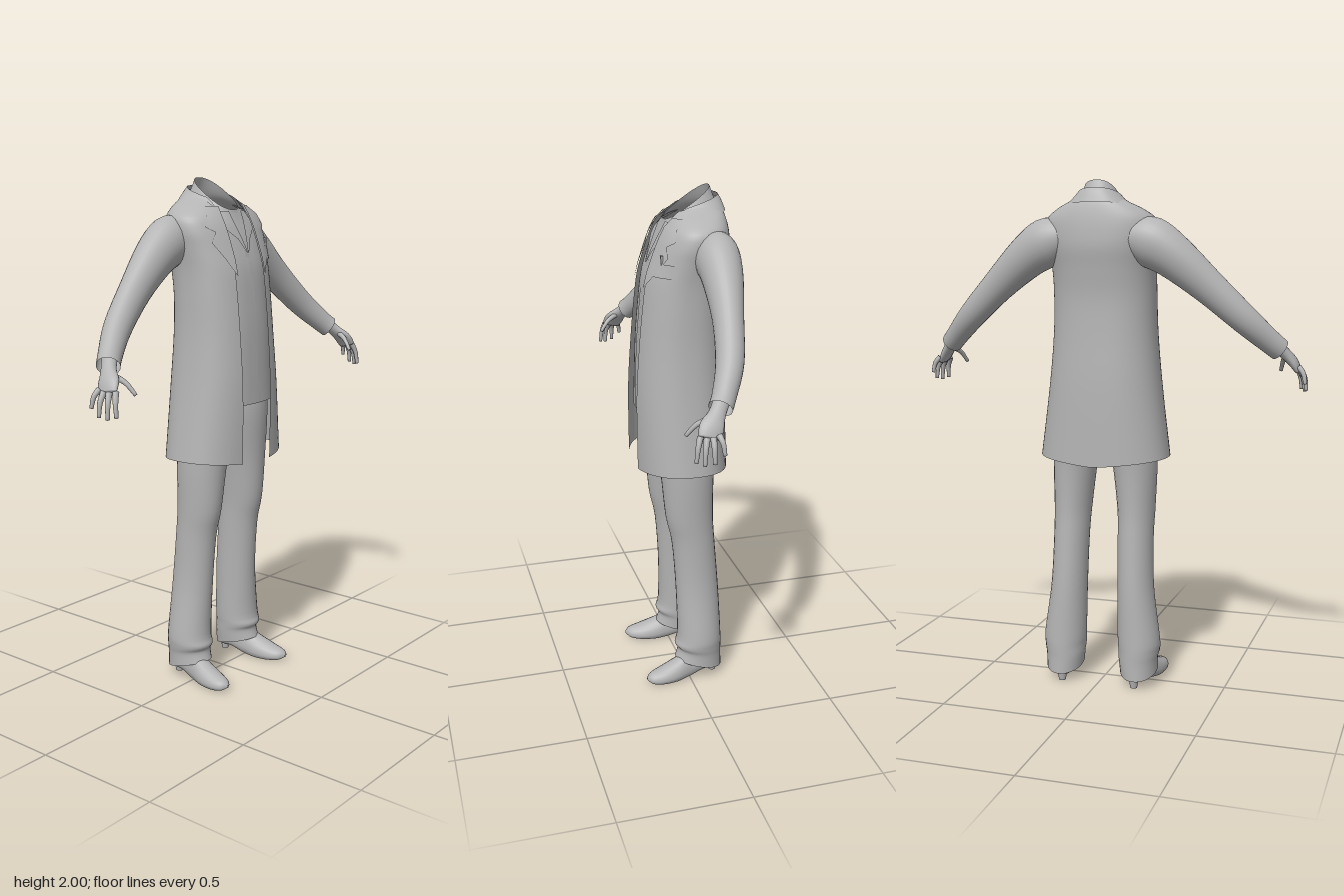
import * as THREE from 'three';

const cloth = new THREE.MeshStandardMaterial({ color: 0xb4b4b4, side: THREE.DoubleSide });
cloth.name = 'plain grey';

// Skin a list of rings (arrays of points) into one smooth surface
function skin(rings, closed, name) {
  const n = rings[0].length, index = [];
  const cols = closed ? n : n - 1;
  for (let i = 0; i < rings.length - 1; i++) {
    for (let j = 0; j < cols; j++) {
      const a = i * n + j, b = i * n + (j + 1) % n;
      index.push(a, b, a + n, b, b + n, a + n);
    }
  }
  const geo = new THREE.BufferGeometry();
  geo.setAttribute('position', new THREE.Float32BufferAttribute(rings.flat(2), 3));
  geo.setIndex(index);
  geo.computeVertexNormals();
  const mesh = new THREE.Mesh(geo, cloth);
  mesh.name = name;
  return mesh;
}

// Mirror rings to the side s while keeping the faces outward
const side = (rings, s) => (s > 0 ? rings : rings.map(r => r.map(([x, y, z]) => [-x, y, z]).reverse()));

// Catmull-Rom subdivision of rows of numbers
function smooth(rows, k = 4) {
  const out = [], at = i => rows[Math.max(0, Math.min(rows.length - 1, i))];
  for (let i = 0; i < rows.length - 1; i++) {
    for (let j = 0; j < k; j++) {
      const t = j / k, [a, b, c, d] = [at(i - 1), at(i), at(i + 1), at(i + 2)];
      out.push(b.map((v, m) => v + 0.5 * t * (c[m] - a[m]
        + t * (2 * a[m] - 5 * v + 4 * c[m] - d[m] + t * (3 * (v - c[m]) + d[m] - a[m])))));
    }
  }
  return [...out, rows[rows.length - 1]];
}

// Torso row: [front y, back y, half width, front z, back z, rise at the sides]
const P = 0.85;
function bodyPoint([yf, yb, w, zf, zb, rise], t) {
  const s = Math.sin(t), c = Math.cos(t);
  const px = Math.sign(s) * Math.abs(s) ** P, pz = Math.sign(c) * Math.abs(c) ** P;
  const k = (1 + pz) / 2;
  return [w * px, yb + (yf - yb) * k + rise * Math.abs(px), zb + (zf - zb) * k];
}
const angleAt = (row, x) => Math.asin(Math.min(1, x / row[2]) ** (1 / P));

// Height and depth of a torso surface on its front at (x, y)
function frontZ(rows, x, y) {
  const pts = rows.map(r => bodyPoint(r, angleAt(r, Math.abs(x))));
  for (let i = 0; i < pts.length - 1; i++) {
    const [, y0, z0] = pts[i], [, y1, z1] = pts[i + 1];
    if (y >= y0 && y <= y1) return z0 + (z1 - z0) * (y - y0) / (y1 - y0 || 1);
  }
  return pts[pts.length - 1][2];
}

// Torso shell, with a front opening from x = -l to x = r if given
function shell(rows, name, l = 0, r = 0) {
  const n = 56;
  const rings = rows.map(row => {
    const a = r ? angleAt(row, r) : 0, b = 2 * Math.PI - (l ? angleAt(row, l) : 0);
    return Array.from({ length: n + 1 }, (_, i) => bodyPoint(row, a + (b - a) * i / n));
  });
  return skin(rings, false, name);
}

// Thin patch laid on a torso front; spans are [y, inner x, outer x]
function patch(rows, spans, off, s, name) {
  const n = 6;
  const rings = spans.map(([y, a, b]) => Array.from({ length: n + 1 }, (_, i) => {
    const x = a + (b - a) * i / n;
    return [x, y, frontZ(rows, x, y) + off];
  }));
  return skin(side(rings, s), false, name);
}

// Limb through sections [x, y, z, radius along z, other radius]
function limb(sections, s, name, capped = true, n = 20) {
  const rows = smooth(sections);
  const pos = rows.map(r => new THREE.Vector3(r[0], r[1], r[2]));
  const rings = rows.map((r, i) => {
    const T = pos[Math.min(i + 1, pos.length - 1)].clone().sub(pos[Math.max(0, i - 1)]).normalize();
    const U = new THREE.Vector3(0, 0, 1).addScaledVector(T, -T.z).normalize();
    const V = new THREE.Vector3().crossVectors(T, U);
    return Array.from({ length: n }, (_, j) => {
      const t = j / n * Math.PI * 2;
      return pos[i].clone().addScaledVector(U, Math.cos(t) * r[3]).addScaledVector(V, Math.sin(t) * r[4]).toArray();
    });
  });
  if (capped) rings.push(rings[0].map(() => pos[pos.length - 1].toArray()));
  return skin(side(rings, s), true, name);
}

const ellipse = (n, f) => Array.from({ length: n }, (_, j) => f(Math.cos(j / n * Math.PI * 2), Math.sin(j / n * Math.PI * 2)));

export function createModel() {
  const model = new THREE.Group();
  model.name = 'clothedFigure';

  // Long open coat
  const coat = smooth([
    [0.905, 0.9, 0.26, 0.185, -0.18, 0.025], [1.2, 1.2, 0.225, 0.188, -0.175, 0],
    [1.4, 1.4, 0.207, 0.177, -0.165, 0], [1.55, 1.55, 0.203, 0.163, -0.162, 0],
    [1.66, 1.66, 0.205, 0.148, -0.173, 0], [1.74, 1.74, 0.216, 0.122, -0.184, 0],
    [1.8, 1.8, 0.226, 0.098, -0.183, 0], [1.85, 1.855, 0.218, 0.075, -0.177, 0],
    [1.88, 1.9, 0.172, 0.055, -0.168, 0], [1.9, 1.93, 0.118, 0.045, -0.158, 0],
    [1.91, 1.955, 0.09, 0.04, -0.15, 0],
  ]);
  model.add(shell(coat, 'coat', 0.095, 0.07));
  model.add(shell(smooth([
    [1.865, 1.915, 0.135, 0.06, -0.175, 0], [1.9, 1.95, 0.1, 0.045, -0.162, 0],
    [1.91, 1.97, 0.085, 0.04, -0.15, 0]]), 'coatCollar', 0.08, 0.08));

  // Shirt with a stand-up neck
  const shirt = smooth([
    [1.14, 1.14, 0.212, 0.168, -0.16, 0], [1.4, 1.4, 0.193, 0.16, -0.15, 0],
    [1.55, 1.55, 0.188, 0.148, -0.147, 0], [1.66, 1.66, 0.19, 0.134, -0.158, 0],
    [1.74, 1.74, 0.2, 0.11, -0.168, 0], [1.8, 1.8, 0.205, 0.086, -0.166, 0],
    [1.84, 1.85, 0.19, 0.068, -0.16, 0], [1.865, 1.9, 0.13, 0.058, -0.152, 0],
    [1.872, 1.94, 0.088, 0.056, -0.142, 0], [1.88, 2, 0.068, 0.054, -0.12, 0],
  ]);
  model.add(shell(shirt, 'shirt'));
  model.add(patch(shirt, [[1.145, -0.012, 0.012], [1.4, -0.012, 0.012], [1.6, -0.012, 0.012], [1.73, -0.012, 0.012]], 0.003, 1, 'shirtPlacket'));

  for (const s of [1, -1]) {
    // Notched lapel and shirt collar flap
    const edge = s > 0 ? 0.07 : 0.09;
    model.add(patch(coat, [[1.64, edge, edge + 0.003], [1.7, edge, 0.128], [1.762, edge, 0.165],
      [1.8, edge, 0.143], [1.82, edge, 0.175], [1.86, edge, 0.155], [1.895, 0.078, 0.125]], 0.007, s, 'lapel'));
    model.add(patch(shirt, [[1.72, 0, 0.006], [1.77, 0.012, 0.035], [1.81, 0.022, 0.084],
      [1.84, 0.03, 0.084], [1.875, 0.035, 0.08]], 0.008, s, 'shirtCollarFlap'));

    // Sleeve and cuff
    model.add(limb([[0.14, 1.785, -0.092, 0.07, 0.075], [0.21, 1.765, -0.09, 0.083, 0.096],
      [0.3, 1.708, -0.085, 0.074, 0.084], [0.43, 1.597, -0.064, 0.056, 0.066],
      [0.56, 1.477, -0.03, 0.05, 0.055], [0.65, 1.392, 0.018, 0.043, 0.046],
      [0.685, 1.36, 0.042, 0.043, 0.044]], s, 'sleeve', false, 28));

    // Hand with four fingers and a thumb
    const hand = new THREE.Group();
    hand.name = s > 0 ? 'leftHand' : 'rightHand';
    hand.add(limb([[0.665, 1.385, 0.03, 0.03, 0.025], [0.7, 1.348, 0.058, 0.03, 0.022],
      [0.73, 1.312, 0.086, 0.043, 0.019], [0.748, 1.28, 0.098, 0.04, 0.013]], s, 'palm'));
    const fingers = [
      [[0.738, 1.287, 0.128], [0.753, 1.25, 0.14], [0.757, 1.2, 0.147]],
      [[0.75, 1.283, 0.108], [0.768, 1.245, 0.118], [0.774, 1.193, 0.122]],
      [[0.756, 1.285, 0.088], [0.777, 1.25, 0.09], [0.784, 1.2, 0.09]],
      [[0.756, 1.292, 0.068], [0.776, 1.268, 0.06], [0.784, 1.228, 0.055]],
      [[0.705, 1.335, 0.08], [0.687, 1.312, 0.125], [0.673, 1.27, 0.16]],
    ];
    fingers.forEach((f, i) => hand.add(limb(f.map((p, k) => [...p, 0.012 - k * 0.0025, 0.012 - k * 0.0025]),
      s, i < 4 ? 'finger' : 'thumb', true, 10)));
    model.add(hand);

    // Trouser leg: [y, inner x, outer x, front z, back z, hem tilt]
    const leg = smooth([
      [1.2, -0.005, 0.19, 0.13, -0.13, 0], [1.08, 0.004, 0.205, 0.125, -0.13, 0],
      [0.9, 0.036, 0.213, 0.102, -0.112, 0], [0.72, 0.058, 0.208, 0.085, -0.108, 0],
      [0.6, 0.064, 0.206, 0.06, -0.115, 0], [0.4, 0.068, 0.213, 0.045, -0.13, 0],
      [0.2, 0.07, 0.24, 0.042, -0.138, 0], [0.145, 0.073, 0.24, 0.053, -0.14, 0.005],
      [0.11, 0.076, 0.233, 0.04, -0.14, 0.015], [0.06, 0.082, 0.232, 0.052, -0.142, 0.026],
    ]);
    model.add(skin(side(leg.map(([y, a, b, f, k, tilt]) => ellipse(28, (c, d) =>
      [(a + b) / 2 + c * (b - a) / 2, y + d * tilt, (f + k) / 2 + d * (f - k) / 2])), s), true, 'trouserLeg'));

    // Pointed shoe: [z, centre x, half width, bottom y, top y]
    const shoe = smooth([
      [-0.13, 0.15, 0.004, 0.05, 0.07], [-0.115, 0.152, 0.032, 0.028, 0.1], [-0.06, 0.16, 0.036, 0.026, 0.12],
      [0, 0.168, 0.042, 0.01, 0.115], [0.06, 0.178, 0.05, 0.002, 0.085], [0.12, 0.187, 0.046, 0.002, 0.06],
      [0.165, 0.193, 0.03, 0.008, 0.045], [0.184, 0.195, 0.003, 0.02, 0.028],
    ]);
    model.add(skin(side(shoe.map(([z, x, w, lo, hi]) => ellipse(20, (c, d) =>
      [x + c * w, d < 0 ? lo + (1 + Math.max(-1, d * 1.6)) * 0.3 * (hi - lo) : lo + (hi - lo) * (0.3 + 0.7 * d), z])), s), true, 'shoe'));
    const heel = new THREE.Mesh(new THREE.CylinderGeometry(0.022, 0.014, 0.05, 14), cloth);
    heel.name = 'shoeHeel';
    heel.position.set(s * 0.152, 0.025, -0.108);
    model.add(heel);
  }

  // Breast pocket with a badge clip
  model.add(patch(coat, [[1.69, 0.105, 0.195], [1.715, 0.1, 0.198], [1.74, 0.095, 0.2]], 0.009, 1, 'breastPocket'));
  const clip = new THREE.Mesh(new THREE.BoxGeometry(0.012, 0.035, 0.008), cloth);
  clip.name = 'pocketClip';
  clip.position.set(0.14, 1.752, frontZ(coat, 0.14, 1.752) + 0.008);
  model.add(clip);

  return model;
}
